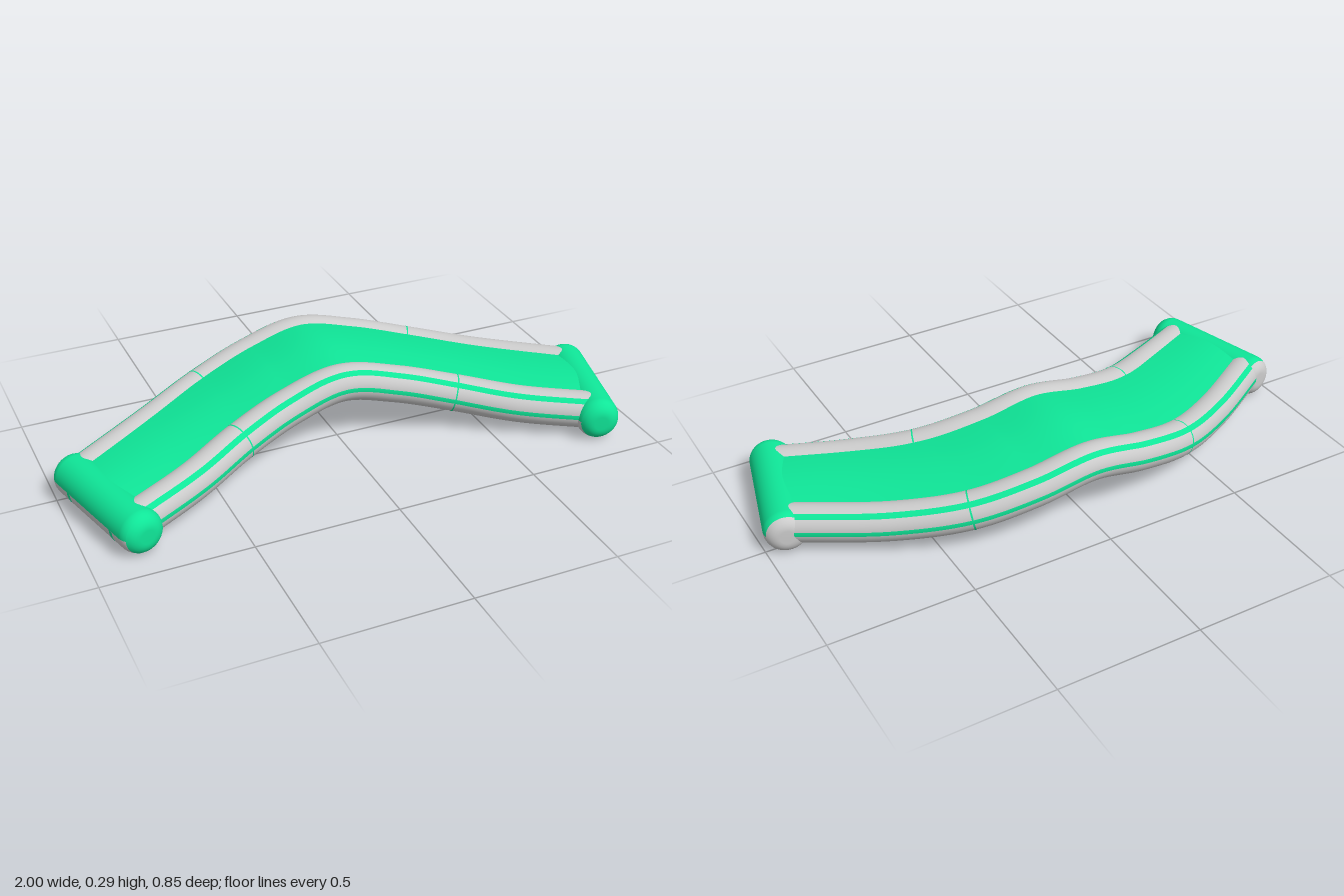
import * as THREE from 'three';
import { ParametricGeometry } from 'three/addons/geometries/ParametricGeometry.js';

const grey = new THREE.MeshStandardMaterial({ color: 0xcccccc });
const green = new THREE.MeshStandardMaterial({ color: 0x0fe698 });
const RAIL_R = 0.065;
const ROLL_R = 0.074;
const ROLL_H = 0.245; // half length of an end roller

// Curve through half a path, mirrored in x
function mirroredCurve(half) {
  const right = half.map((p) => new THREE.Vector3(...p));
  const left = right.slice(1).reverse().map((p) => new THREE.Vector3(-p.x, p.y, p.z));
  return new THREE.CatmullRomCurve3([...left, ...right], false, 'centripetal');
}

function add(parent, name, geometry, material) {
  const mesh = new THREE.Mesh(geometry, material);
  mesh.name = name;
  parent.add(mesh);
  return mesh;
}

// Part of a tube's skin between two angles (0 = outward, 90 = up)
function railSkin(curve, side, from, to, t0, t1, r, slices, stacks) {
  return new ParametricGeometry((u, v, target) => {
    const t = t0 + (t1 - t0) * u;
    const c = curve.getPoint(t);
    const tan = curve.getTangent(t);
    const out = new THREE.Vector3(-tan.z, 0, tan.x).normalize().multiplyScalar(side);
    const up = new THREE.Vector3().crossVectors(out, tan).multiplyScalar(-side);
    if (up.y < 0) up.negate();
    const w = side > 0 ? v : 1 - v;
    const a = THREE.MathUtils.degToRad(from + (to - from) * w);
    target.copy(c).addScaledVector(out, r * Math.cos(a)).addScaledVector(up, r * Math.sin(a));
  }, slices, stacks);
}

function buildRail(name, curve, side) {
  const rail = new THREE.Group();
  rail.name = name;
  const bands = [
    ['lowerStripe', -8, 6, green, 3],
    ['sidePanel', 6, 44, grey, 6],
    ['upperStripe', 44, 62, green, 3],
    ['body', 62, 352, grey, 30],
  ];
  for (const [label, a, b, mat, n] of bands) {
    add(rail, label, railSkin(curve, side, a, b, 0, 1, RAIL_R, 80, n), mat);
  }
  // thin seams around the tube
  for (const t of [0.25, 0.75]) {
    add(rail, 'seam', railSkin(curve, side, 0, 360, t - 0.0015, t + 0.0015, RAIL_R + 0.0008, 1, 36), green);
  }
  return rail;
}

// Surface spanning the two rails, slightly domed
function deckSkin(front, back, up) {
  return new ParametricGeometry((u, v, target) => {
    const w = up > 0 ? v : 1 - v;
    const a = front.getPoint(u);
    const b = back.getPoint(u);
    const inset = 0.033 / a.distanceTo(b);
    target.lerpVectors(a, b, inset + (1 - 2 * inset) * w);
    const lift = up > 0 ? 0.054 + 0.01 * Math.sin(Math.PI * w) : -0.05;
    target.y += lift;
  }, 80, 16);
}

function lathe(points, start, length, segments) {
  return new THREE.LatheGeometry(points, segments, start, length).rotateX(Math.PI / 2);
}

// Rounded cylinder: green above, grey below, with two straps and end caps
function buildRoller(name, side) {
  const roller = new THREE.Group();
  roller.name = name;
  const bevel = 0.05;
  const cap = ROLL_R - bevel;
  const profile = [];
  for (let i = 0; i <= 8; i++) {
    const a = (i / 8) * Math.PI / 2;
    profile.push(new THREE.Vector2(cap + bevel * Math.sin(a), -ROLL_H + bevel * (1 - Math.cos(a))));
  }
  const ends = profile.slice().reverse().map((p) => new THREE.Vector2(p.x, -p.y));
  const shell = [...profile, ...ends];
  add(roller, 'upperHalf', lathe(shell, Math.PI / 2, Math.PI, 24), green);
  add(roller, 'lowerHalf', lathe(shell, -Math.PI / 2, Math.PI, 24), grey);
  // front cap wraps over the start of the rounding
  const frontCap = ends.slice(3).map((p) => new THREE.Vector2(p.x + 0.0006, p.y + 0.0006));
  frontCap.push(new THREE.Vector2(0, ROLL_H + 0.0006));
  add(roller, 'frontCap', lathe(frontCap, 0, Math.PI * 2, 40), green);
  const backCap = [new THREE.Vector2(0, -ROLL_H - 0.0006)];
  profile.slice(0, 6).forEach((p) => backCap.push(new THREE.Vector2(p.x + 0.0006, p.y - 0.0006)));
  add(roller, 'backCap', lathe(backCap, 0, Math.PI * 2, 40), grey);
  for (const z of [0.145, -0.114]) {
    const strap = [-0.009, 0.009].map((d) => new THREE.Vector2(ROLL_R + 0.0006, z + d));
    add(roller, 'strap', lathe(strap, -Math.PI / 2, Math.PI, 24), green);
  }
  roller.position.set(side * 0.877, ROLL_R, 0.18);
  roller.rotation.y = -side * 0.255;
  return roller;
}

export function createModel() {
  const model = new THREE.Group();
  model.name = 'inflatableBridge';

  const front = mirroredCurve([
    [0, 0.225, 0.03], [0.2, 0.184, 0.047], [0.4, 0.134, 0.108], [0.6, 0.098, 0.214], [0.84, 0.08, 0.335],
  ]);
  const back = mirroredCurve([
    [0, 0.225, -0.36], [0.2, 0.184, -0.345], [0.4, 0.134, -0.29], [0.62, 0.098, -0.175], [0.92, 0.08, 0.015],
  ]);

  model.add(buildRail('frontRail', front, 1));
  model.add(buildRail('backRail', back, -1));
  add(model, 'deckTop', deckSkin(front, back, 1), green);
  add(model, 'deckUnderside', deckSkin(front, back, -1), grey);
  model.add(buildRoller('leftRoller', 1), buildRoller('rightRoller', -1));
  return model;
}
